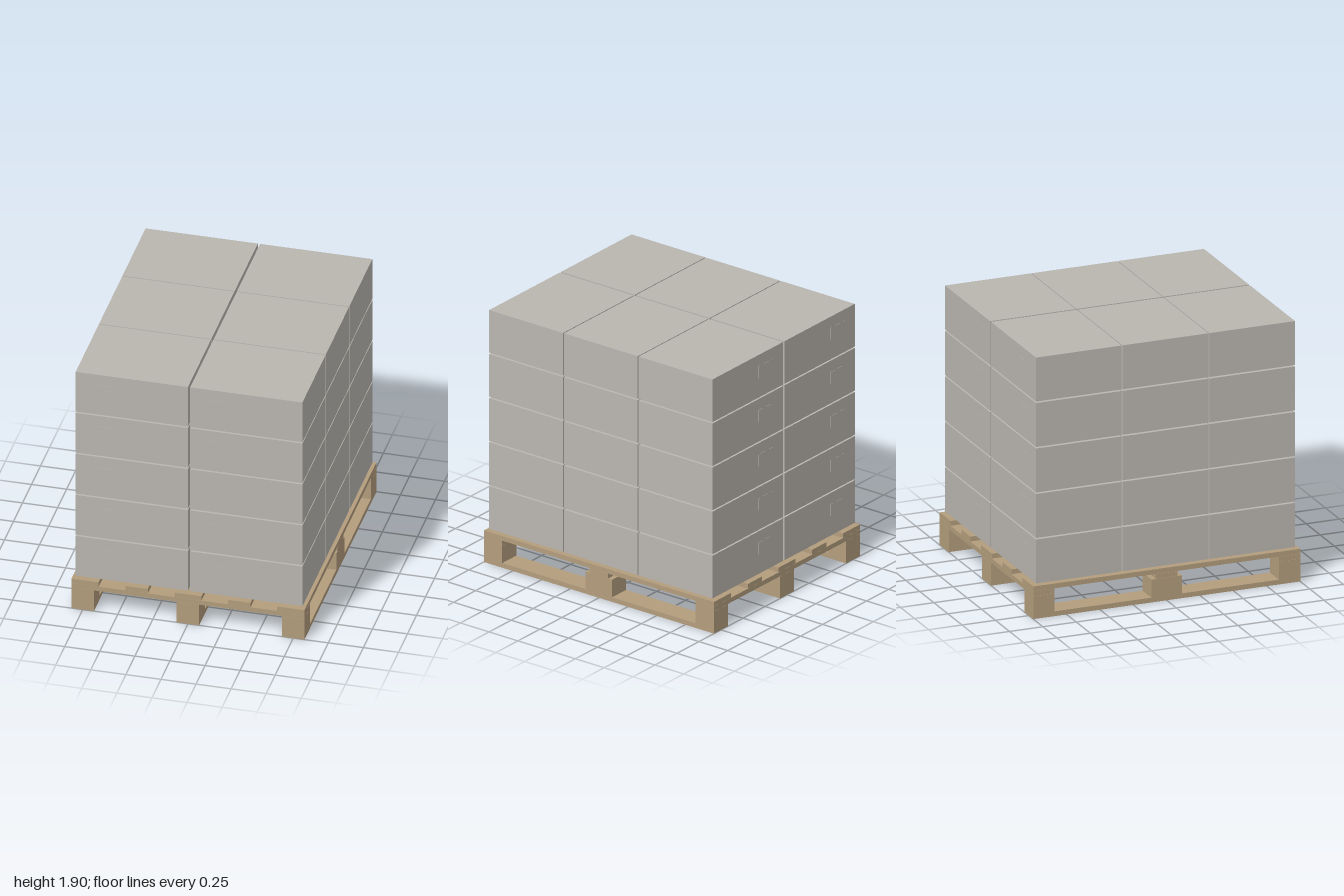
import * as THREE from 'three';

export function createModel() {
  const model = new THREE.Group();
  model.name = 'loadedPallet';

  const wood = new THREE.MeshStandardMaterial({ color: 0xb39d7d });
  wood.name = 'wood';
  const card = new THREE.MeshStandardMaterial({ color: 0xbab6b0 });
  card.name = 'greyCardboard';

  // Box given by its centre in x and z, its bottom in y, and its size
  const addBox = (parent, name, material, x, y, z, w, h, d) => {
    const mesh = new THREE.Mesh(new THREE.BoxGeometry(w, h, d), material);
    mesh.name = name;
    mesh.position.set(x, y + h / 2, z);
    parent.add(mesh);
  };

  // Pallet: runners, blocks, cross boards, deck boards
  const pallet = new THREE.Group();
  pallet.name = 'pallet';
  model.add(pallet);
  for (const i of [-1, 0, 1]) {
    const x = i * 0.75;
    addBox(pallet, 'bottomRunner', wood, x, 0, 0, 0.16, 0.035, 2);
    for (const k of [-1, 0, 1]) {
      addBox(pallet, 'block', wood, x, 0.035, k * 0.92, 0.16, 0.132, k ? 0.16 : 0.23);
    }
    addBox(pallet, 'crossBoard', wood, 0, 0.168, i * 0.92, 1.66, 0.035, 0.16);
  }
  for (let i = -2; i <= 2; i++) {
    const wide = i % 2 === 0;
    addBox(pallet, 'deckBoard', wood, i * (wide ? 0.3665 : 0.366), 0.204, 0, wide ? 0.194 : 0.16, 0.035, 2);
  }

  // Cartons: five layers of two by three
  const cartons = new THREE.Group();
  cartons.name = 'cartons';
  model.add(cartons);
  const height = 0.322, depth = 0.641, pitchZ = 0.6495;
  for (let layer = 0; layer < 5; layer++) {
    const y = 0.25 + layer * 0.333;
    for (const side of [-1, 1]) {
      const x = side * 0.408;
      for (const row of [-1, 0, 1]) {
        addBox(cartons, 'carton', card, x, y, row * pitchZ, 0.8, height, depth);
      }
      // Thin labels on the outer front and back faces
      for (const end of [-1, 1]) {
        const z = end * (pitchZ + depth / 2 + 0.0005);
        addBox(cartons, 'label', card, side < 0 ? -0.61 : 0.207, y + 0.152, z, 0.164, 0.085, 0.002);
      }
    }
  }
  return model;
}
